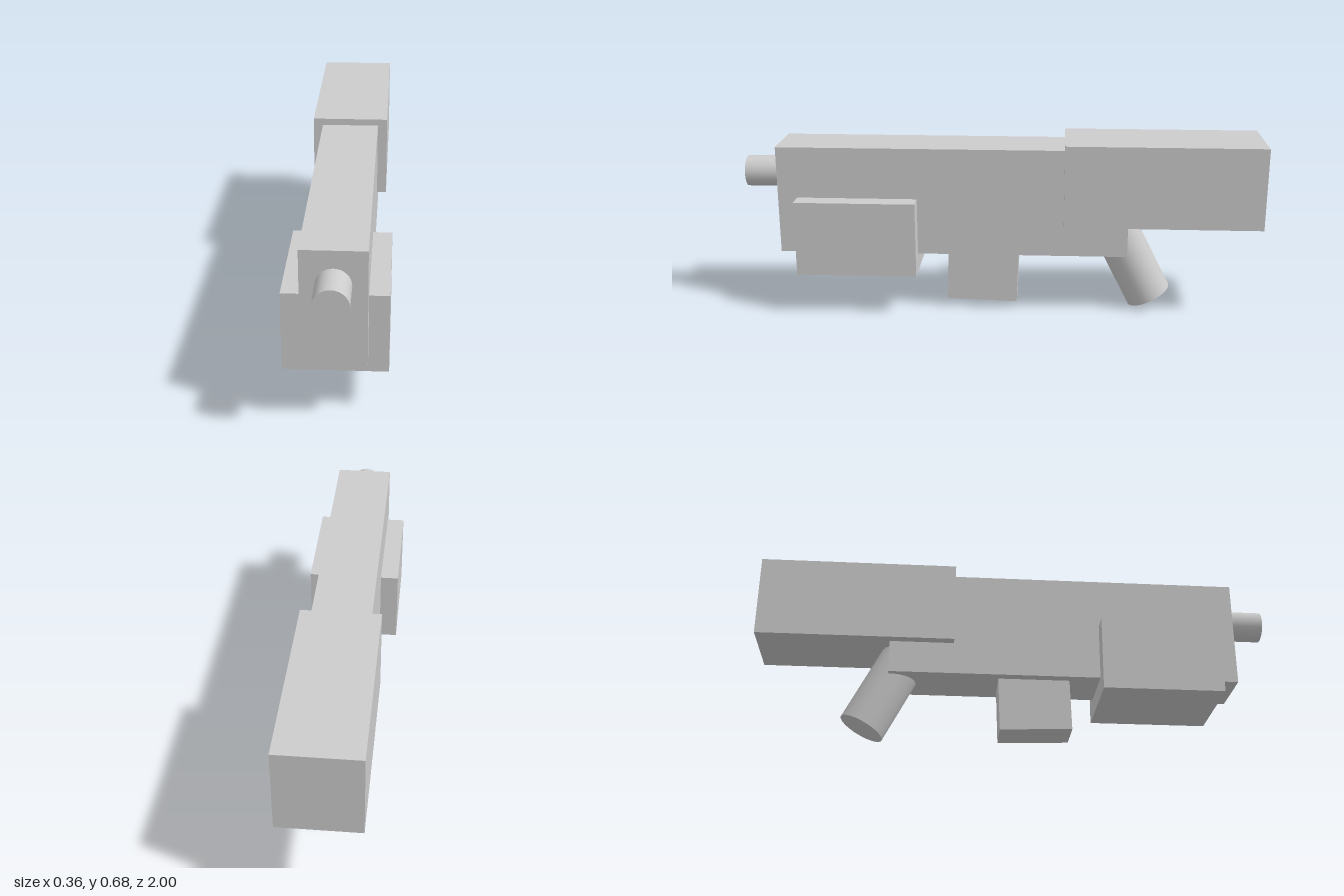
import * as THREE from 'three';

export function createModel() {
  const model = new THREE.Group();
  const grey = new THREE.MeshStandardMaterial({ color: 0xcccccc });
  grey.name = 'light grey';

  const add = (name, geometry, x, y, z, tilt = 0) => {
    const mesh = new THREE.Mesh(geometry, grey);
    mesh.name = name;
    mesh.position.set(x, y, z);
    mesh.rotation.x = tilt;
    model.add(mesh);
    return mesh;
  };

  // Box given by its half width and its y and z limits
  const block = (name, halfWidth, y0, y1, z0, z1, tilt = 0) =>
    add(name, new THREE.BoxGeometry(halfWidth * 2, y1 - y0, z1 - z0),
      0, (y0 + y1) / 2, (z0 + z1) / 2, tilt);

  block('body', 0.111, 0.234, 0.654, -0.49, 0.862);
  block('rearStock', 0.148, 0.361, 0.68, -1, -0.243);
  block('foreGuard', 0.181, 0.163, 0.455, 0.323, 0.788);

  // Magazine leans very slightly and runs up into the body
  block('magazine', 0.073, 0.029, 0.329, -0.067, 0.209, -0.033);

  // Barrel stub at the front
  add('barrel', new THREE.CylinderGeometry(0.06, 0.06, 0.2, 32), 0, 0.531, 0.9, Math.PI / 2);

  // Slanted round grip, its top hidden inside the body and stock
  const lean = 0.47, length = 0.4, radius = 0.09;
  const bottomY = radius * Math.sin(lean);
  add('grip', new THREE.CylinderGeometry(radius, radius, length, 32), 0,
    bottomY + Math.cos(lean) * length / 2,
    -0.586 + Math.sin(lean) * length / 2, lean);

  return model;
}
